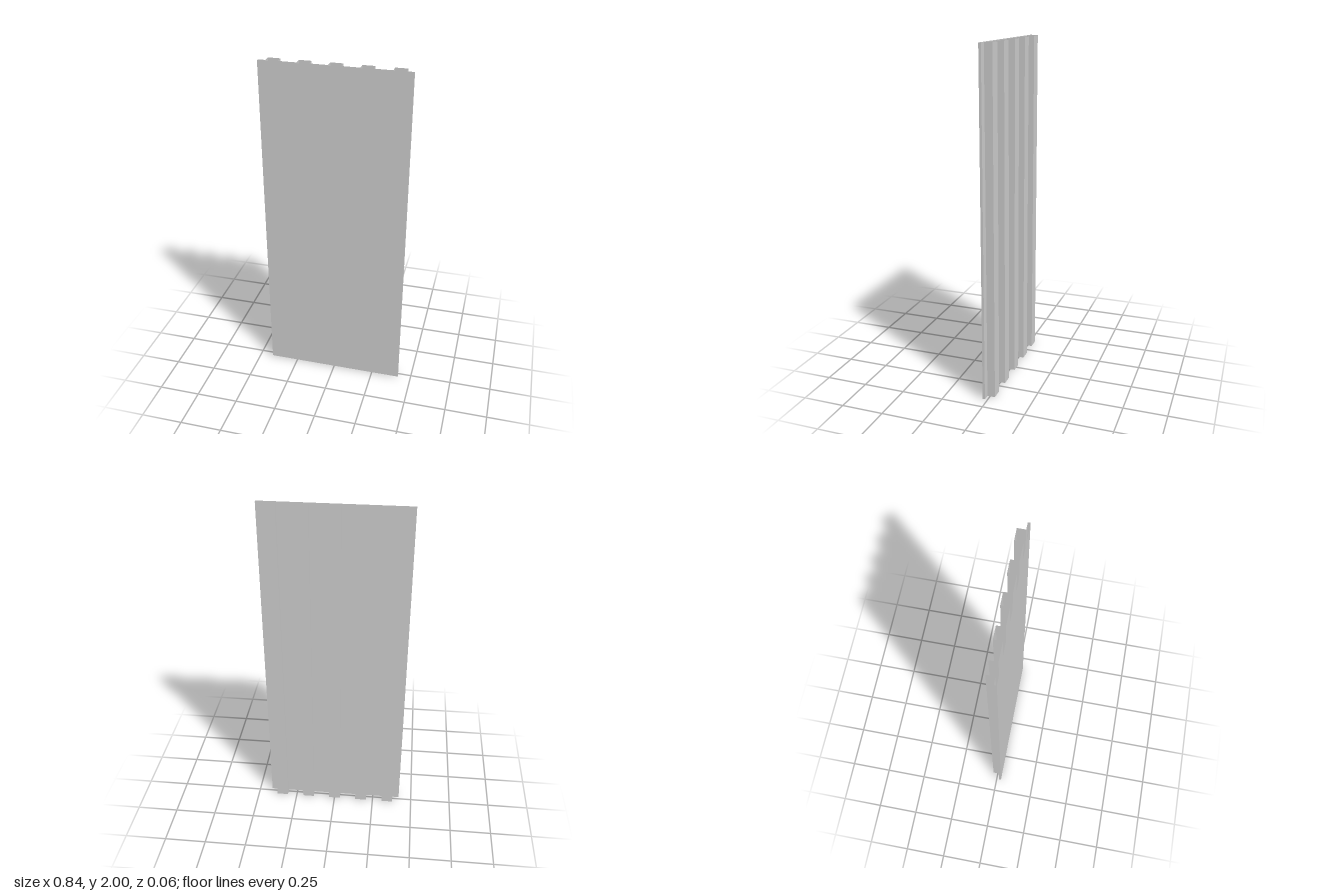
import * as THREE from 'three';

const HEIGHT = 2, HALF_WIDTH = 0.42;
const FRONT = 0.03, VALLEY = 0.016, CREST = -0.03;
const RIBS = 5, PITCH = 0.172, RIB_HALF = 0.035;

const material = new THREE.MeshStandardMaterial({
  color: 0xcccccc, flatShading: true, side: THREE.DoubleSide,
});

// Upright thin sheet that follows a path of [x, z] points
function sheet(name, path) {
  const positions = [];
  for (let i = 0; i < path.length - 1; i++) {
    const [x0, z0] = path[i], [x1, z1] = path[i + 1];
    positions.push(x0, 0, z0, x1, 0, z1, x1, HEIGHT, z1);
    positions.push(x0, 0, z0, x1, HEIGHT, z1, x0, HEIGHT, z0);
  }
  const geometry = new THREE.BufferGeometry();
  geometry.setAttribute('position', new THREE.Float32BufferAttribute(positions, 3));
  geometry.computeVertexNormals();
  const mesh = new THREE.Mesh(geometry, material);
  mesh.name = name;
  return mesh;
}

export function createModel() {
  const panel = new THREE.Group();
  panel.name = 'ribbedPanel';

  // Flat front skin
  panel.add(sheet('frontSheet', [[-HALF_WIDTH, FRONT], [HALF_WIDTH, FRONT]]));

  // Narrow returns closing the two upright edges
  for (const side of [1, -1]) {
    const x = side * HALF_WIDTH;
    const edge = side > 0 ? [[x, FRONT], [x, VALLEY]] : [[x, VALLEY], [x, FRONT]];
    panel.add(sheet(side > 0 ? 'leftEdge' : 'rightEdge', edge));
  }

  // Folded back skin with square ribs, running from +x to -x so it faces back
  const path = [[HALF_WIDTH, VALLEY]];
  for (let i = 0; i < RIBS; i++) {
    const x = ((RIBS - 1) / 2 - i) * PITCH;
    path.push([x + RIB_HALF, VALLEY], [x + RIB_HALF, CREST]);
    path.push([x - RIB_HALF, CREST], [x - RIB_HALF, VALLEY]);
  }
  path.push([-HALF_WIDTH, VALLEY]);
  panel.add(sheet('ribbedBackSheet', path));

  return panel;
}
